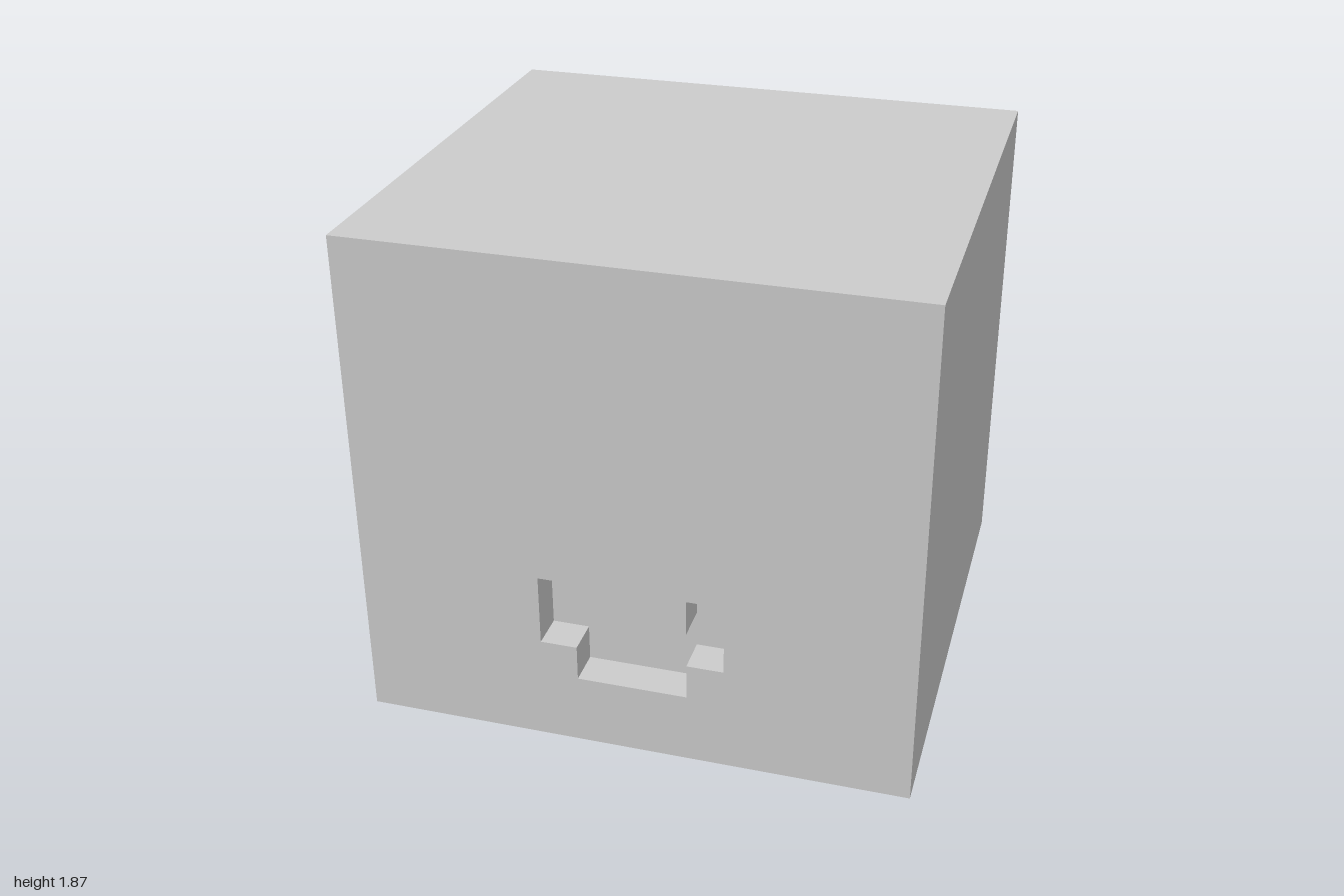
import * as THREE from 'three';
import { mergeGeometries } from 'three/addons/utils/BufferGeometryUtils.js';

const U = 1 / 15; // one block unit
const W = 30 * U, H = 28 * U, D = 28 * U;
const FRONT = D / 2, DEPTH = 2 * U;

// Outline of the stepped mouth, counter-clockwise seen from the front
const right = [[3, 4], [3, 6], [5, 6], [5, 10], [3, 10], [3, 8]];
const mouth = [...right, ...right.map(([x, y]) => [-x, y]).reverse()]
  .map(([x, y]) => new THREE.Vector2(x * U, y * U));

// Box with its front face left out
function openBox() {
  const box = new THREE.BoxGeometry(W, H, D).translate(0, H / 2, 0);
  const index = Array.from(box.index.array);
  index.splice(24, 6);
  box.setIndex(index);
  box.clearGroups();
  return box;
}

// Front face with the mouth cut out
function frontFace() {
  const w = W / 2;
  const face = new THREE.Shape([[-w, 0], [w, 0], [w, H], [-w, H]].map((p) => new THREE.Vector2(...p)));
  face.holes.push(new THREE.Path(mouth));
  return new THREE.ShapeGeometry(face).translate(0, 0, FRONT);
}

// Recess wall along one outline edge, facing into the mouth
function recessWall(a, i) {
  const b = mouth[(i + 1) % mouth.length];
  return new THREE.PlaneGeometry(a.distanceTo(b), DEPTH)
    .rotateX(-Math.PI / 2)
    .rotateZ(Math.atan2(b.y - a.y, b.x - a.x))
    .translate((a.x + b.x) / 2, (a.y + b.y) / 2, FRONT - DEPTH / 2);
}

export function createModel() {
  const group = new THREE.Group();
  group.name = 'blockHead';
  const material = new THREE.MeshStandardMaterial({ color: 0xcccccc });

  const add = (name, geometry) => {
    const mesh = new THREE.Mesh(geometry, material);
    mesh.name = name;
    group.add(mesh);
  };

  add('head', mergeGeometries([openBox(), frontFace()]));

  // Sunken mouth: walls and back panel
  const back = new THREE.ShapeGeometry(new THREE.Shape(mouth)).translate(0, 0, FRONT - DEPTH);
  add('mouthRecess', mergeGeometries([...mouth.map(recessWall), back]));

  return group;
}
